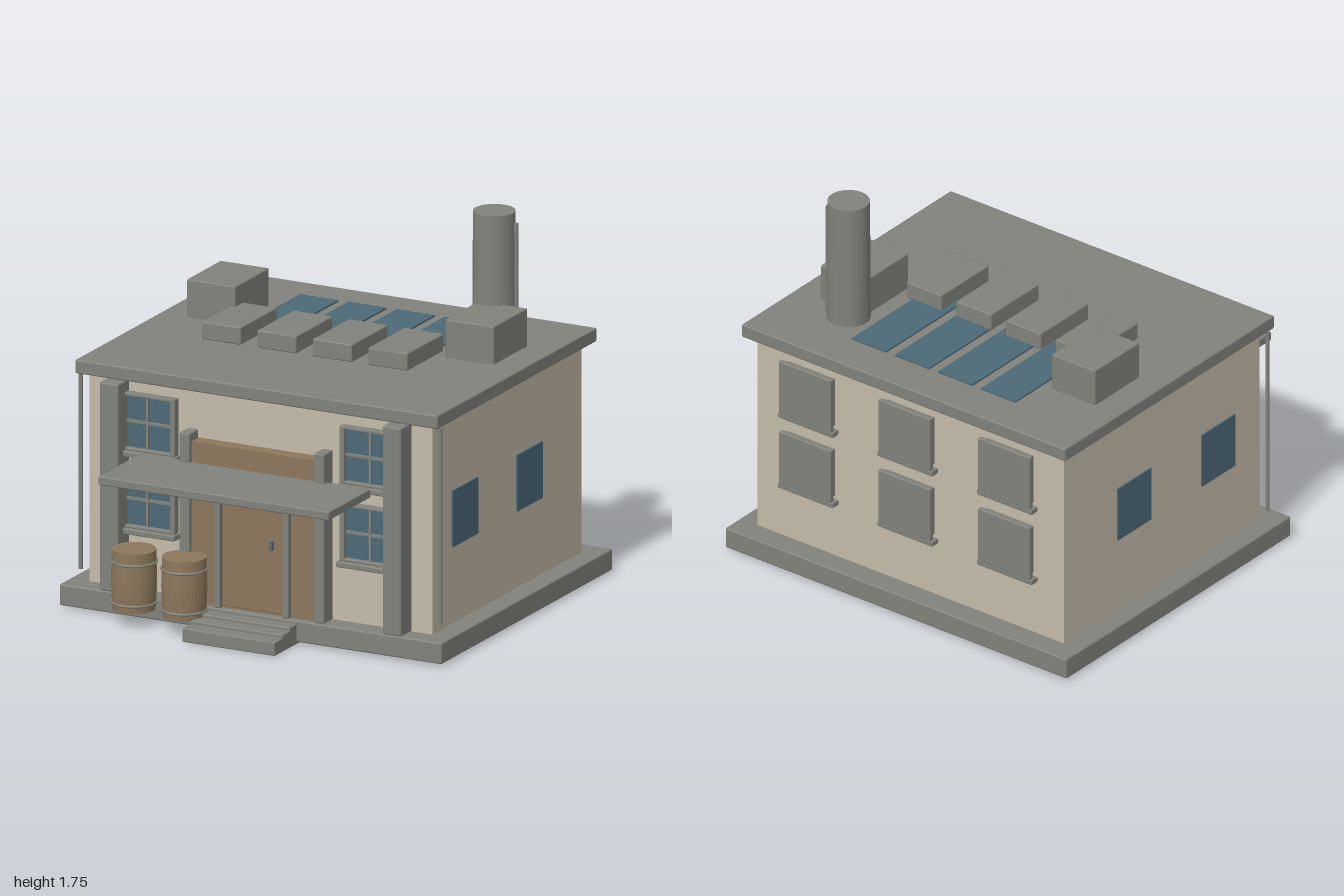
import * as THREE from 'three';
import { RoundedBoxGeometry } from 'three/addons/geometries/RoundedBoxGeometry.js';

const material = (name, color) => {
  const m = new THREE.MeshStandardMaterial({ color });
  m.name = name;
  return m;
};

export function createModel() {
  const stone = material('grey stone', 0x82827c);
  const plaster = material('cream plaster', 0xc4bba9);
  const wood = material('brown wood', 0x8c775c);
  const glass = material('blue glass', 0x4d6a78);

  const model = new THREE.Group();
  model.name = 'building';

  const add = (name, geometry, mat, parent = model) => {
    const mesh = new THREE.Mesh(geometry, mat);
    mesh.name = name;
    parent.add(mesh);
    return mesh;
  };
  // Box given by its limits; a bevel softens the edges
  const box = (name, mat, [x0, x1], [y0, y1], [z0, z1], bevel = 0, parent = model) => {
    const s = [x1 - x0, y1 - y0, z1 - z0];
    const g = bevel ? new RoundedBoxGeometry(...s, 1, bevel) : new THREE.BoxGeometry(...s);
    const mesh = add(name, g, mat, parent);
    mesh.position.set((x0 + x1) / 2, (y0 + y1) / 2, (z0 + z1) / 2);
    return mesh;
  };
  const cylinder = (name, mat, rTop, rBottom, [y0, y1], x, z, sides = 32, parent = model) => {
    const mesh = add(name, new THREE.CylinderGeometry(rTop, rBottom, y1 - y0, sides), mat, parent);
    mesh.position.set(x, (y0 + y1) / 2, z);
    return mesh;
  };

  // Main body
  box('base', stone, [-0.97, 0.97], [0.01, 0.11], [-1, 0.64], 0.008);
  box('walls', plaster, [-0.87, 0.87], [0.11, 1.09], [-0.89, 0.54]);
  box('roof', stone, [-0.92, 0.92], [1.09, 1.155], [-0.945, 0.585], 0.008);

  // Framed window facing +z, with its back on z = 0
  const makeWindow = (name, paned) => {
    const g = new THREE.Group();
    g.name = name;
    const w = 0.148, h = 0.135, f = 0.025;
    if (paned) {
      box('pane', glass, [-w + 0.01, w - 0.01], [-h + 0.01, h - 0.01], [0, 0.014], 0, g);
      for (const s of [-1, 1]) {
        box('frameSide', stone, [s * (w - f / 2) - f / 2, s * (w - f / 2) + f / 2], [-h, h], [0, 0.04], 0.004, g);
      }
      box('frameTop', stone, [-w, w], [h - 0.015, h], [0, 0.04], 0.004, g);
      box('frameBottom', stone, [-w, w], [-h, -h + 0.012], [0, 0.04], 0.004, g);
      box('mullion', stone, [-0.006, 0.006], [-h, h], [0, 0.026], 0, g);
      box('transom', stone, [-w, w], [-0.006, 0.006], [0, 0.026], 0, g);
    } else {
      box('shutterBacking', stone, [-w + 0.015, w - 0.015], [-h + 0.015, h - 0.015], [0, 0.03], 0, g);
      box('shutter', stone, [-w, w], [-h, h], [0.025, 0.05], 0.006, g);
    }
    box('sill', stone, [-w - 0.008, w + 0.008], [-h - 0.026, -h], [0, paned ? 0.06 : 0.045], 0.005, g);
    model.add(g);
    return g;
  };
  for (const y of [0.9, 0.537]) {
    for (const x of [-0.565, 0.565]) makeWindow('frontWindow', true).position.set(x, y, 0.538);
    for (const x of [-0.565, 0, 0.565]) {
      const back = makeWindow('backWindow', false);
      back.position.set(x, y, -0.89);
      back.rotation.y = Math.PI;
    }
  }

  // Both sides: windows, pilasters, downpipes and porch columns
  for (const s of [-1, 1]) {
    const span = (a, b) => (s > 0 ? [a, b] : [-b, -a]);
    for (const z of [0.232, -0.382]) {
      box('sideWindow', glass, span(0.869, 0.878), [0.47, 0.735], [z - 0.122, z + 0.122]);
    }
    box('pilaster', stone, span(0.67, 0.765), [0.11, 1.088], [0.53, 0.643], 0.008);
    cylinder('downpipe', stone, 0.01, 0.01, [0.165, 1.09], s * 0.912, 0.543, 12);
    box('porchColumn', stone, span(0.315, 0.368), [0.11, 0.905], [0.54, 0.63], 0.007);
    box('doorPost', stone, span(0.158, 0.19), [0.11, 0.725], [0.6, 0.635], 0.005);
  }

  // Entrance
  box('entrancePanel', wood, [-0.32, 0.32], [0.11, 0.865], [0.54, 0.608]);
  box('doorLintel', stone, [-0.19, 0.19], [0.693, 0.725], [0.6, 0.635], 0.005);
  box('door', wood, [-0.155, 0.155], [0.12, 0.69], [0.6, 0.618], 0.004);
  box('doorHandle', glass, [0.092, 0.106], [0.415, 0.46], [0.615, 0.632], 0.003);
  box('canopy', stone, [-0.585, 0.585], [0.725, 0.767], [0.59, 0.995], 0.007);
  [[0.235, 0.065, 0.85], [0.235, 0.08, 0.775], [0.235, 0.095, 0.705]].forEach(([w, top, front], i) => {
    box('step', stone, [-w, w], [i ? 0.04 : 0, top], [0.6, front], 0.006);
  });

  // Barrels with hoops
  for (const x of [-0.563, -0.308]) {
    const barrel = new THREE.Group();
    barrel.name = 'barrel';
    barrel.position.set(x, 0.07, 0.692);
    const profile = [[0, 0], [0.097, 0], [0.102, 0.07], [0.104, 0.14], [0.102, 0.21], [0.1, 0.28], [0, 0.28]];
    add('staves', new THREE.LatheGeometry(profile.map(([r, y]) => new THREE.Vector2(r, y)), 32).toNonIndexed(), wood, barrel)
      .geometry.computeVertexNormals();
    for (const y of [0.035, 0.225]) {
      const hoop = add('hoop', new THREE.TorusGeometry(0.103, 0.006, 8, 32), stone, barrel);
      hoop.rotation.x = Math.PI / 2;
      hoop.position.y = y;
    }
    model.add(barrel);
  }

  // Roof equipment
  box('roofUnit', stone, [-0.782, -0.535], [1.15, 1.333], [-0.55, -0.225], 0.007);
  box('roofUnit', stone, [0.53, 0.777], [1.15, 1.333], [-0.55, -0.225], 0.007);
  for (let i = 0; i < 4; i++) {
    const v = -0.565 + i * 0.282;
    box('roofVent', stone, [v, v + 0.2], [1.155, 1.238], [-0.305, 0.045], 0.007);
    const k = -0.485 + i * 0.245;
    box('skylight', glass, [k, k + 0.195], [1.154, 1.163], [-0.75, -0.185]);
  }
  cylinder('chimney', stone, 0.096, 0.1, [1.15, 1.753], 0.585, -0.592);
  cylinder('chimneyPipe', stone, 0.012, 0.012, [1.15, 1.7], 0.684, -0.614, 12);

  return model;
}
